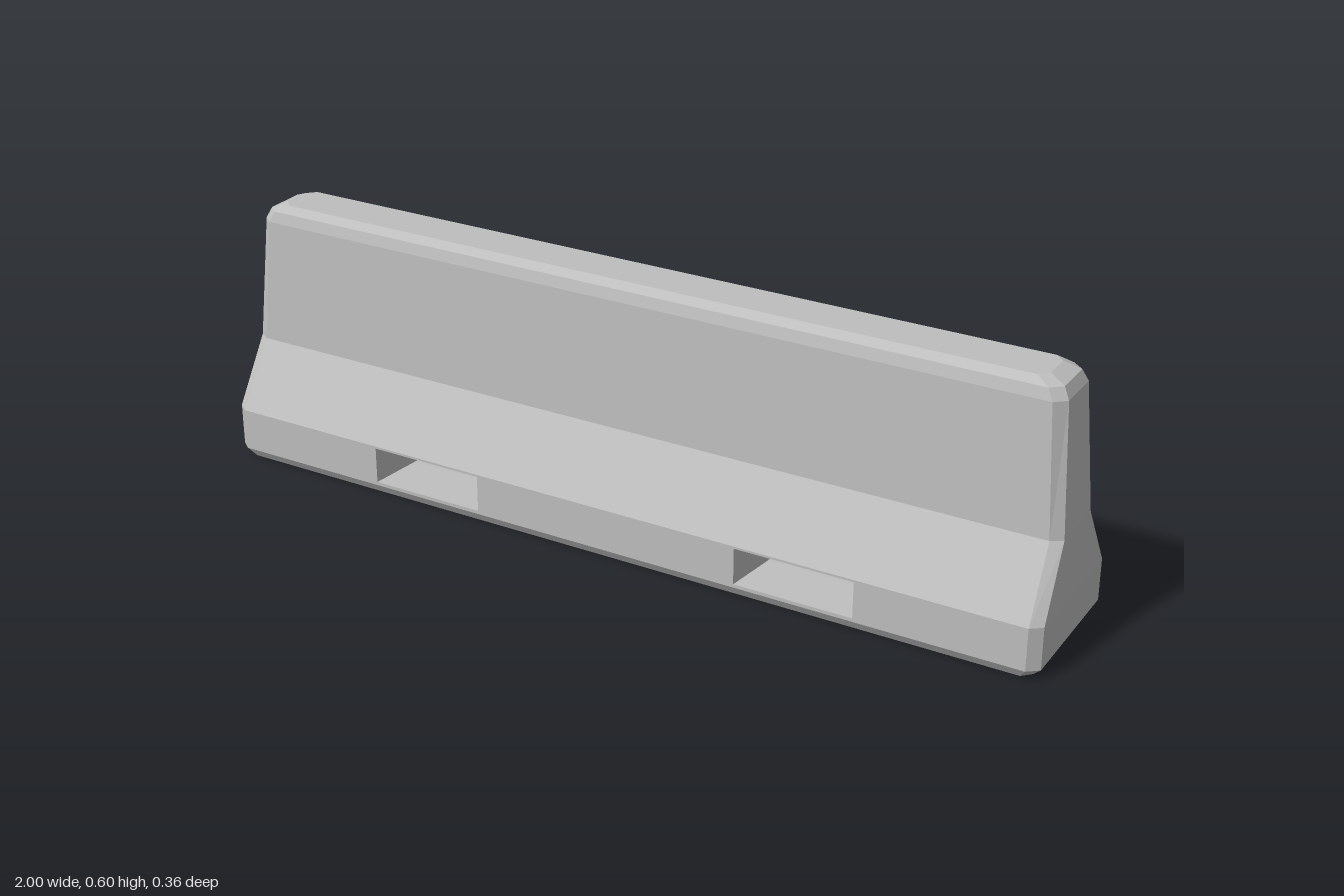
import * as THREE from 'three';

const concrete = new THREE.MeshStandardMaterial({ color: 0xbebebe });
concrete.name = 'concrete grey';

// Flat-shaded mesh from a list of quads and triangles
function facetMesh(name, faces) {
  const pos = [];
  for (const f of faces)
    for (let i = 1; i < f.length - 1; i++) pos.push(...f[0], ...f[i], ...f[i + 1]);
  const g = new THREE.BufferGeometry();
  g.setAttribute('position', new THREE.Float32BufferAttribute(pos, 3));
  g.computeVertexNormals();
  const mesh = new THREE.Mesh(g, concrete);
  mesh.name = name;
  return mesh;
}

// Rectangle with cut corners, at height y
function ring([y, hx, hz, cx, cz]) {
  return [
    [-hx + cx, y, hz], [hx - cx, y, hz], [hx, y, hz - cz], [hx, y, -hz + cz],
    [hx - cx, y, -hz], [-hx + cx, y, -hz], [-hx, y, -hz + cz], [-hx, y, hz - cz],
  ];
}

// Height, half length, half depth, corner cut along x and z
const LEVELS = [
  [0, 0.98, 0.166, 0.02, 0.02],
  [0.022, 1, 0.18, 0.025, 0.02],
  [0.12, 1, 0.18, 0.025, 0.02],
  [0.27, 0.995, 0.088, 0.025, 0.016],
  [0.56, 0.973, 0.075, 0.025, 0.022],
  [0.585, 0.96, 0.068, 0.025, 0.022],
  [0.6, 0.925, 0.052, 0.02, 0.02],
];
const SLOT_BAND = 1; // level whose long faces carry the slots
const SLOTS = [-0.46, 0.46];
const slotRect = (x, z, w, y0, y1) =>
  [[x - w, y0, z], [x + w, y0, z], [x + w, y1, z], [x - w, y1, z]];

export function createModel() {
  const group = new THREE.Group();
  group.name = 'roadBarrier';

  // Body: stacked rings, with the slotted faces left open
  const rings = LEVELS.map(ring);
  const faces = [[...rings[0]].reverse(), rings[rings.length - 1]];
  for (let k = 0; k < rings.length - 1; k++) {
    const a = rings[k], b = rings[k + 1];
    for (let i = 0; i < 8; i++) {
      if (k === SLOT_BAND && i % 4 === 0) continue;
      const j = (i + 1) % 8;
      faces.push([a[i], a[j], b[j], b[i]]);
    }
  }
  group.add(facetMesh('barrierBody', faces));

  // Long lower faces with slot openings
  const shape = new THREE.Shape([
    [-0.975, 0.022], [0.975, 0.022], [0.975, 0.12], [-0.975, 0.12],
  ].map(([x, y]) => new THREE.Vector2(x, y)));
  for (const x of SLOTS) {
    const pts = slotRect(x, 0, 0.138, 0.03, 0.115).map(([px, py]) => new THREE.Vector2(px, py));
    shape.holes.push(new THREE.Path(pts.reverse()));
  }
  const panel = new THREE.ShapeGeometry(shape);
  for (const side of [1, -1]) {
    const mesh = new THREE.Mesh(panel, concrete);
    mesh.name = side > 0 ? 'frontLowerFace' : 'backLowerFace';
    mesh.position.z = 0.18 * side;
    if (side < 0) mesh.rotation.y = Math.PI;
    group.add(mesh);
  }

  // Forklift slots that narrow towards the middle and run right through
  SLOTS.forEach((x, n) => {
    const frames = [
      slotRect(x, 0.18, 0.138, 0.03, 0.115),
      slotRect(x, 0.06, 0.118, 0.035, 0.058),
      slotRect(x, -0.06, 0.118, 0.035, 0.058),
      slotRect(x, -0.18, 0.138, 0.03, 0.115),
    ];
    const walls = [];
    for (let k = 0; k < 3; k++)
      for (let i = 0; i < 4; i++) {
        const j = (i + 1) % 4;
        walls.push([frames[k][i], frames[k][j], frames[k + 1][j], frames[k + 1][i]]);
      }
    group.add(facetMesh(n ? 'leftSlot' : 'rightSlot', walls));
  });

  return group;
}
